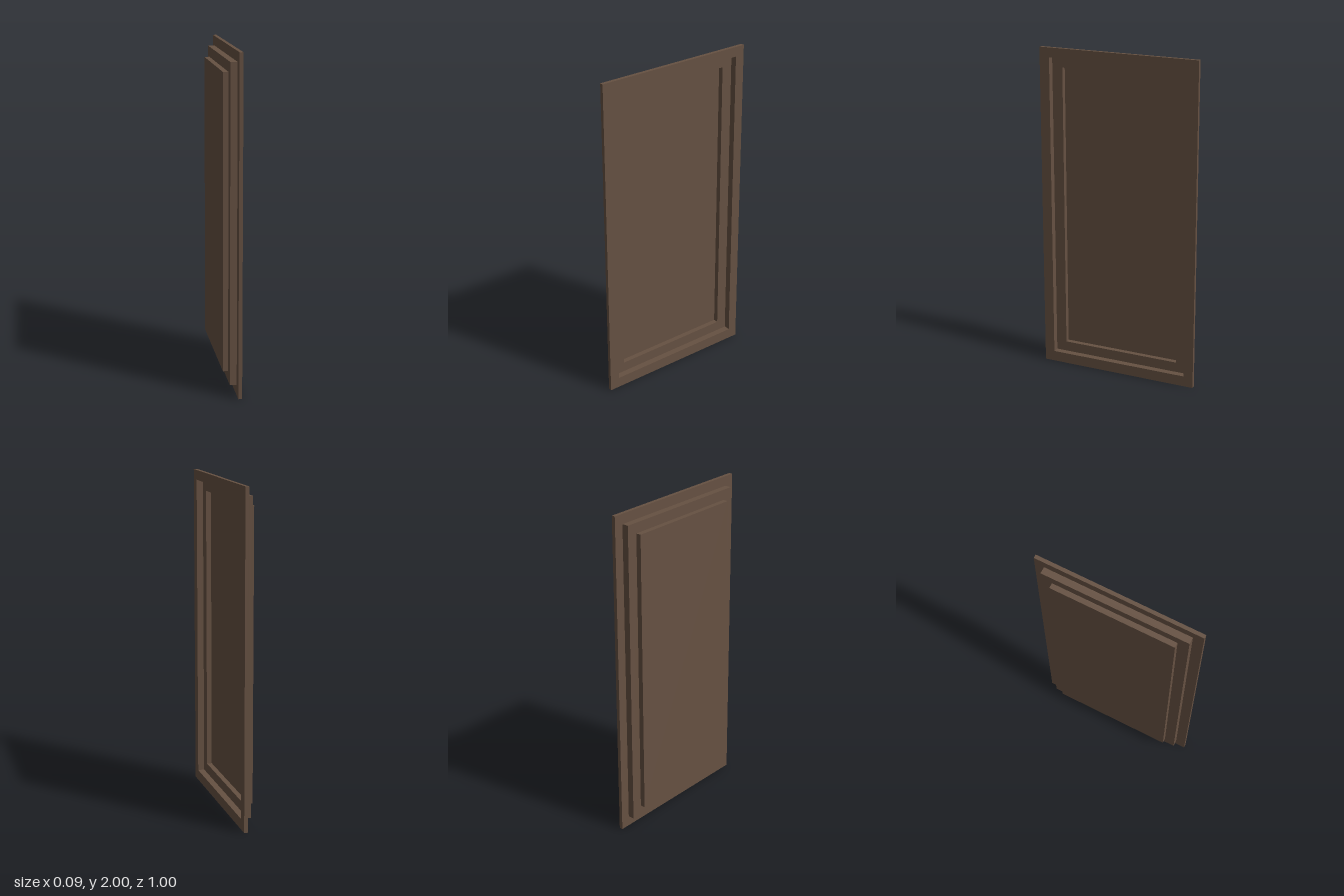
import * as THREE from 'three';

// Rectangular profile stations: [x, half width along z, half height along y]
const OUTER = [0.5, 1], MIDDLE = [0.44, 0.938], INNER = [0.374, 0.876], CENTRE = [0, 0];
const CORNERS = [[-1, -1], [1, -1], [1, 1], [-1, 1]];

// Joins successive rectangles with quads; each path runs from the back face round to the front
function loft(paths) {
  const pos = [];
  const point = ([x, [hz, hy]], i) => {
    const [sz, sy] = CORNERS[i % 4];
    // recessed steps sit a touch off centre
    const off = hz === 0.5 ? 0 : 1;
    return [x, 1 + 0.003 * off + sy * hy, -0.002 * off + sz * hz];
  };
  for (const path of paths) {
    for (let k = 0; k < path.length - 1; k++) {
      const a = path[k], b = path[k + 1];
      for (let i = 0; i < 4; i++) {
        const a0 = point(a, i), a1 = point(a, i + 1), b0 = point(b, i), b1 = point(b, i + 1);
        if (b[1] !== CENTRE) pos.push(...a0, ...b0, ...b1);
        if (a[1] !== CENTRE) pos.push(...a0, ...b1, ...a1);
      }
    }
  }
  const geo = new THREE.BufferGeometry();
  geo.setAttribute('position', new THREE.Float32BufferAttribute(pos, 3));
  geo.computeVertexNormals();
  return geo;
}

export function createModel() {
  const group = new THREE.Group();
  group.name = 'recessedPanel';
  const brown = new THREE.MeshStandardMaterial({ color: 0x665142 });
  brown.name = 'brown';

  const parts = {
    // flat border around the opening
    outerFrame: [[[0.024, MIDDLE], [0.024, OUTER], [0.046, OUTER], [0.046, MIDDLE]]],
    // first step down, outside and inside surfaces
    middleStep: [
      [[-0.016, INNER], [-0.016, MIDDLE], [0.024, MIDDLE]],
      [[0.046, MIDDLE], [0.006, MIDDLE], [0.006, INNER]],
    ],
    // deepest plate with its short walls
    innerPanel: [
      [[-0.047, CENTRE], [-0.047, INNER], [-0.016, INNER]],
      [[0.006, INNER], [-0.025, INNER], [-0.025, CENTRE]],
    ],
  };
  for (const [name, paths] of Object.entries(parts)) {
    const mesh = new THREE.Mesh(loft(paths), brown);
    mesh.name = name;
    group.add(mesh);
  }
  return group;
}
